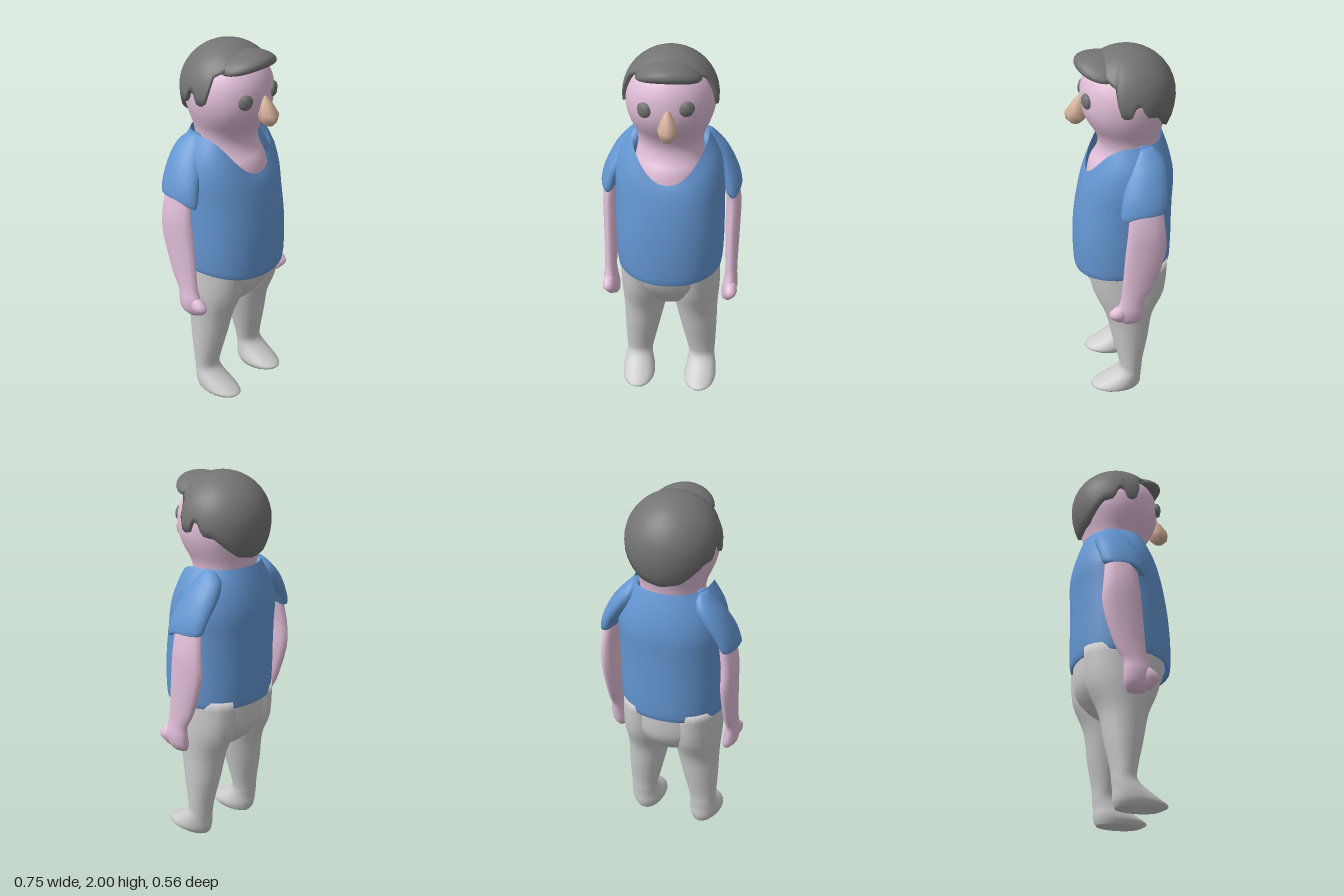
import * as THREE from 'three';

const mat = (color) => new THREE.MeshStandardMaterial({ color, side: THREE.DoubleSide });

// Skin a stack of closed rings (bottom to top), optionally closing the ends
function skinRings(rings, capBottom = true, capTop = true) {
  const n = rings[0].length, pos = [], idx = [];
  rings.forEach((r) => r.forEach((p) => pos.push(p.x, p.y, p.z)));
  for (let i = 0; i < rings.length - 1; i++) {
    for (let j = 0; j < n; j++) {
      const a = i * n + j, b = i * n + (j + 1) % n, c = b + n, d = a + n;
      idx.push(a, d, c, a, c, b);
    }
  }
  const cap = (row, top) => {
    const m = new THREE.Vector3();
    rings[row].forEach((p) => m.addScaledVector(p, 1 / n));
    const k = pos.length / 3;
    pos.push(m.x, m.y, m.z);
    for (let j = 0; j < n; j++) {
      const a = row * n + j, b = row * n + (j + 1) % n;
      if (top) idx.push(a, k, b); else idx.push(a, b, k);
    }
  };
  if (capBottom) cap(0, false);
  if (capTop) cap(rings.length - 1, true);
  const g = new THREE.BufferGeometry();
  g.setAttribute('position', new THREE.Float32BufferAttribute(pos, 3));
  g.setIndex(idx);
  g.computeVertexNormals();
  return g;
}

// Catmull-Rom subdivision of number rows
function smoothRows(rows, steps) {
  const out = [], last = rows.length - 1;
  for (let i = 0; i < last; i++) {
    const q = [rows[Math.max(i - 1, 0)], rows[i], rows[i + 1], rows[Math.min(i + 2, last)]];
    for (let s = 0; s < steps; s++) {
      const t = s / steps;
      out.push(q[1].map((v, k) => {
        const [a, b, c, d] = q.map((r) => r[k]);
        return b + 0.5 * t * (c - a + t * (2 * a - 5 * b + 4 * c - d + t * (3 * (b - c) + d - a)));
      }));
    }
  }
  out.push(rows[last]);
  return out;
}

// Section: [y, centreX, halfWidth, frontZ, backZ, frontDip]
function loft(sections, { side = 1, sides = 20, steps = 3, power = 2, bottom = true, top = true } = {}) {
  const rows = smoothRows(sections.map((s) => [...s, 0].slice(0, 6)), steps);
  const pw = (v) => Math.sign(v) * Math.abs(v) ** (2 / power);
  const rings = rows.map(([y, cx, rx, zf, zb, dip]) => Array.from({ length: sides }, (_, j) => {
    const a = j / sides * Math.PI * 2, s = Math.sin(a);
    return new THREE.Vector3(side * cx + rx * pw(Math.cos(a)), y - dip * Math.max(0, s) ** 2,
      (zf + zb) / 2 + (zf - zb) / 2 * pw(s));
  }));
  return skinRings(rings, bottom, top);
}

// Hair cap with a hairline height that varies around the head
function hairCap() {
  const line = [[0, 1.9], [55, 1.9], [70, 1.87], [77, 1.74], [83, 1.72], [91, 1.73], [95, 1.79],
    [102, 1.78], [108, 1.72], [122, 1.71], [136, 1.66], [152, 1.61], [180, 1.59]];
  const hairline = (deg) => {
    const i = Math.max(1, line.findIndex((p) => p[0] >= deg));
    const [a, ya] = line[i - 1], [b, yb] = line[i];
    return THREE.MathUtils.mapLinear(deg, a, b, ya, yb);
  };
  const n = 90, rows = 12, rings = [];
  for (let k = -1; k < rows; k++) {
    const ring = [];
    for (let j = 0; j < n; j++) {
      const a = j / n * Math.PI * 2;
      const deg = Math.min(180, Math.acos(THREE.MathUtils.clamp(Math.sin(a), -1, 1)) * 180 / Math.PI);
      const h = hairline(deg) - 1.76;
      const e0 = Math.asin(h / (h < 0 ? 0.3 : 0.24));
      const e = THREE.MathUtils.lerp(e0, Math.PI / 2, Math.max(k, 0) / rows);
      const r = Math.cos(e) * (k < 0 ? 0.88 : 1), y = Math.sin(e);
      ring.push(new THREE.Vector3(0.245 * r * Math.cos(a), 1.76 + y * (y < 0 ? 0.3 : 0.24),
        -0.03 + 0.25 * r * Math.sin(a)));
    }
    rings.push(ring);
  }
  return skinRings(rings, false, true);
}

// Swept fringe: a flattened ball drooping at the sides and lifted at the front
function fringe() {
  const g = new THREE.SphereGeometry(1, 28, 16), p = g.attributes.position;
  for (let i = 0; i < p.count; i++) {
    const x = p.getX(i), y = p.getY(i), z = p.getZ(i);
    p.setXYZ(i, 0.165 * x, 1.925 + 0.05 * y - 0.035 * x * x + 0.012 * z, 0.085 + 0.14 * z - 0.02 * Math.min(y, 0) * z);
  }
  g.computeVertexNormals();
  return g;
}

export function createModel() {
  const model = new THREE.Group();
  const skin = mat(0xe2bfd9), blue = mat(0x6496d2), dark = mat(0x747474), tan = mat(0xd4b09a), grey = mat(0xcccccc);
  const add = (name, geometry, material) => {
    const m = new THREE.Mesh(geometry, material);
    m.name = name;
    model.add(m);
    return m;
  };

  // Head, neck and upper chest
  add('head', loft([
    [1.28, 0, 0.2, 0.178, -0.2], [1.38, 0, 0.19, 0.16, -0.2], [1.44, 0, 0.178, 0.125, -0.2],
    [1.5, 0, 0.17, 0.112, -0.2], [1.56, 0, 0.178, 0.13, -0.21], [1.63, 0, 0.207, 0.172, -0.23],
    [1.7, 0, 0.226, 0.198, -0.25], [1.78, 0, 0.226, 0.2, -0.25], [1.85, 0, 0.2, 0.183, -0.225],
    [1.91, 0, 0.15, 0.14, -0.18], [1.96, 0, 0.06, 0.05, -0.1],
  ], { sides: 32 }), skin);

  // Face
  for (const [x, y, name] of [[-0.112, 1.75, 'rightEye'], [0.1, 1.765, 'leftEye']]) {
    const eye = add(name, new THREE.SphereGeometry(0.04, 8, 8), dark);
    eye.scale.z = 0.5;
    eye.position.set(x, y, 0.178);
    eye.rotation.y = x * 4;
  }
  add('nose', loft([
    [1.61, 0.008, 0.022, 0.25, 0.2], [1.635, 0.008, 0.042, 0.275, 0.17], [1.67, 0.008, 0.051, 0.28, 0.17],
    [1.72, 0.008, 0.032, 0.245, 0.17], [1.76, 0.008, 0.01, 0.21, 0.18],
  ], { sides: 8, steps: 1 }), tan);

  // Hair
  add('hair', hairCap(), dark);
  add('fringe', fringe(), dark);

  // Shirt body, hem turned in, collar dipping to a V at the front
  add('shirt', loft([
    [0.815, 0, 0.255, 0.225, -0.235, 0.03], [0.8, 0, 0.28, 0.25, -0.263, 0.03], [0.92, 0, 0.289, 0.255, -0.27, 0.01],
    [1.06, 0, 0.29, 0.246, -0.27], [1.2, 0, 0.288, 0.226, -0.273, 0.01], [1.32, 0, 0.29, 0.207, -0.275, 0.05],
    [1.44, 0, 0.262, 0.192, -0.25, 0.13], [1.54, 0, 0.2, 0.178, -0.215, 0.205],
  ], { sides: 36, power: 2.2, bottom: false, top: false }), blue);

  // Trouser seat
  add('trouserSeat', loft([
    [0.5, 0, 0.04, 0, -0.09], [0.56, 0, 0.15, 0.09, -0.17], [0.65, 0, 0.235, 0.165, -0.235],
    [0.75, 0, 0.264, 0.215, -0.25], [0.9, 0, 0.27, 0.235, -0.25],
  ], { sides: 28 }), grey);

  for (const [side, label] of [[1, 'left'], [-1, 'right']]) {
    // Sleeve
    add(label + 'Sleeve', loft([
      [1.25, 0.329, 0.03, -0.02, -0.15, 0.03], [1.245, 0.329, 0.045, 0.035, -0.19, 0.045],
      [1.32, 0.3, 0.055, 0.025, -0.205, 0.01], [1.42, 0.235, 0.069, -0.005, -0.21],
      [1.49, 0.195, 0.052, -0.03, -0.19], [1.535, 0.18, 0.022, -0.07, -0.14],
    ], { side, bottom: false }), blue);

    // Arm with fist
    add(label + 'Arm', loft([
      [0.555, 0.31, 0.024, 0.03, -0.06], [0.59, 0.322, 0.04, 0.05, -0.08], [0.65, 0.332, 0.04, 0.06, -0.085],
      [0.71, 0.334, 0.033, 0.04, -0.088], [0.8, 0.332, 0.035, 0.03, -0.135], [1, 0.332, 0.04, 0.015, -0.195],
      [1.15, 0.331, 0.04, 0, -0.19], [1.33, 0.3, 0.036, -0.01, -0.17],
    ], { side, sides: 14 }), skin);
    add(label + 'Thumb', loft([
      [0.575, 0.322, 0.02, 0.065, 0], [0.615, 0.335, 0.033, 0.1, 0], [0.645, 0.337, 0.033, 0.095, 0],
      [0.675, 0.337, 0.02, 0.06, 0],
    ], { side, sides: 10, steps: 2 }), skin);

    // Leg and foot
    add(label + 'Leg', loft([
      [0, 0.17, 0.07, 0.15, -0.08], [0.022, 0.175, 0.088, 0.188, -0.09], [0.05, 0.177, 0.09, 0.15, -0.095],
      [0.09, 0.18, 0.082, 0.085, -0.095], [0.14, 0.179, 0.073, 0.03, -0.1], [0.2, 0.175, 0.08, 0.03, -0.105],
      [0.35, 0.16, 0.1, 0.065, -0.135], [0.5, 0.145, 0.118, 0.098, -0.16], [0.65, 0.14, 0.133, 0.16, -0.225],
      [0.84, 0.14, 0.13, 0.2, -0.24],
    ], { side }), grey);
  }
  return model;
}
